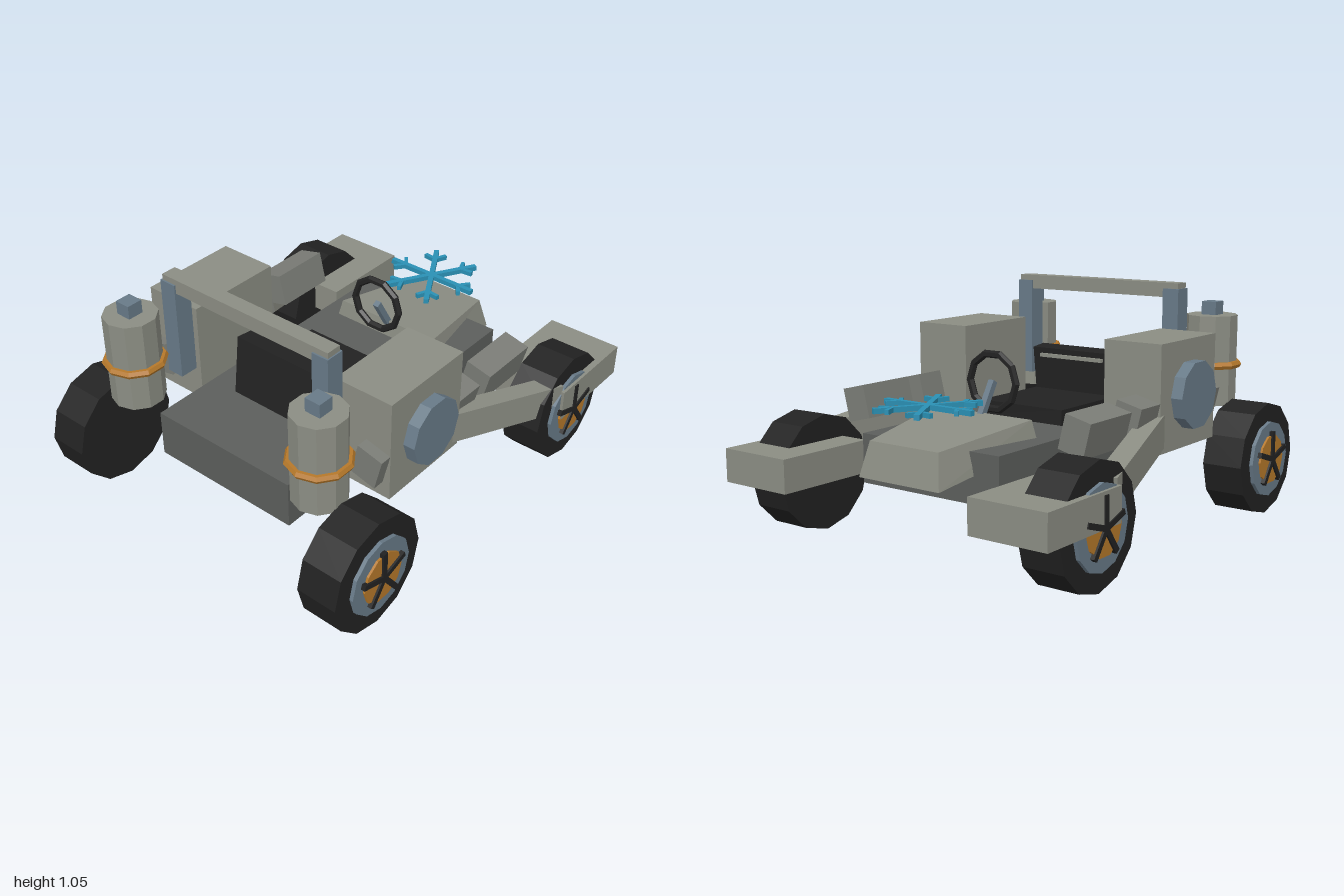
import * as THREE from 'three';

export function createModel() {
  const model = new THREE.Group();
  model.name = 'rover';
  const mat = (name, color) => {
    const m = new THREE.MeshStandardMaterial({ color });
    m.name = name;
    return m;
  };
  const hull = mat('light hull grey', 0x8b8d83);
  const pod = mat('mid grey', 0x7a7c76);
  const frame = mat('dark frame grey', 0x5c5e5c);
  const slate = mat('slate blue', 0x687a88);
  const black = mat('black rubber', 0x222222);
  const gold = mat('amber', 0xb5782a);
  const ice = mat('ice blue', 0x2a90b4);

  // Faceted mesh with hard edges
  const add = (name, geo, material, x = 0, y = 0, z = 0, parent = model) => {
    const g = geo.index ? geo.toNonIndexed() : geo;
    g.computeVertexNormals();
    const m = new THREE.Mesh(g, material);
    m.name = name;
    m.position.set(x, y, z);
    parent.add(m);
    return m;
  };
  const box = (w, h, d) => new THREE.BoxGeometry(w, h, d);
  // Disc whose axis runs along x, with a corner at the top
  const disc = (r, w, n) => new THREE.CylinderGeometry(r, r, w, n).rotateZ(Math.PI / 2);
  // Straight box beam between two points
  const beam = (name, a, b, w, h, material) => {
    const p = new THREE.Vector3(...a), q = new THREE.Vector3(...b);
    const m = add(name, box(w, h, p.distanceTo(q)), material);
    m.position.copy(p).lerp(q, 0.5);
    m.lookAt(q);
    return m;
  };

  // Chassis
  add('chassis', box(0.72, 0.212, 1.425), frame, 0, 0.364, 0.048);

  // Tapered hood: a box narrowed towards the nose and towards the top
  const hood = box(1, 1, 1);
  const p = hood.attributes.position;
  for (let i = 0; i < p.count; i++) {
    const nose = p.getZ(i) < 0, top = p.getY(i) > 0, s = Math.sign(p.getX(i));
    if (nose) p.setXYZ(i, s * (top ? 0.18 : 0.21), top ? 0.487 : 0.34, top ? -0.81 : -0.845);
    else p.setXYZ(i, s * (top ? 0.26 : 0.283), top ? 0.545 : 0.44, top ? -0.32 : -0.305);
  }
  add('hood', hood, hull);

  // Seat
  add('seatCushion', box(0.44, 0.07, 0.42), black, 0, 0.503, 0.16);
  add('seatBack', box(0.436, 0.27, 0.08), black, 0, 0.604, 0.397).rotation.x = -0.12;
  add('seatTrim', box(0.34, 0.016, 0.02), hull, 0, 0.70, 0.336);

  // Steering
  add('steeringWheel', new THREE.TorusGeometry(0.123, 0.017, 6, 10), black, 0, 0.667, -0.245);
  beam('steeringColumn', [0, 0.67, -0.245], [0, 0.51, -0.34], 0.028, 0.028, slate);

  // Roll bar
  add('rollBarTop', box(0.88, 0.065, 0.07), hull, 0, 1.018, 0.573);

  // Snowflake ornament
  const flake = new THREE.Group();
  flake.name = 'snowflake';
  flake.position.set(0, 0.622, -0.66);
  model.add(flake);
  for (let i = 0; i < 6; i++) {
    const arm = new THREE.Group();
    arm.name = 'snowflakeArm';
    arm.rotation.y = i * Math.PI / 3;
    flake.add(arm);
    add('snowflakeStem', box(0.228, 0.022, 0.024), ice, 0.114, 0, 0, arm);
    for (const s of [-1, 1])
      add('snowflakeBranch', box(0.062, 0.02, 0.018), ice, 0.168, 0, s * 0.024, arm).rotation.y = -s * Math.PI / 3.4;
  }

  // One wheel; s is the side it faces
  const wheel = (name, s, z) => {
    const w = new THREE.Group();
    w.name = name;
    w.position.set(0, 0.26, z);
    model.add(w);
    add('tire', disc(0.256, 0.185, 12), black, s * 0.709, 0, 0, w);
    add('rim', disc(0.172, 0.05, 12), slate, s * 0.793, 0, 0, w);
    add('hubPlate', disc(0.113, 0.03, 10), gold, s * 0.813, 0, 0, w);
    for (let i = 0; i < 5; i++) {
      const a = i * Math.PI * 2 / 5;
      const spoke = add('spoke', box(0.02, 0.128, 0.024), black,
        s * 0.827, Math.cos(a) * 0.064, Math.sin(a) * 0.064, w);
      spoke.rotation.x = a;
    }
  };

  for (const s of [-1, 1]) {
    wheel('noseWheel', s, -0.636);
    wheel('tailWheel', s, 0.745);

    // Fender and the arm that carries it
    add('fender', box(0.354, 0.145, 0.47), hull, s * 0.654, 0.33, -0.765);
    beam('fenderArm', [s * 0.6, 0.49, 0.11], [s * 0.77, 0.36, -0.54], 0.09, 0.14, hull);

    // Side box with a round cover
    add('sideBox', box(0.277, 0.463, 0.46), hull, s * 0.518, 0.617, 0.265);
    add('sideCover', disc(0.148, 0.06, 10), slate, s * 0.68, 0.613, 0.267);

    // Row of tilted pods
    for (const z of [-0.332, 0.035, 0.402])
      add('sidePod', box(0.122, 0.148, 0.292), pod, s * 0.579, 0.543, z).rotation.z = -s * 0.24;

    // Roll bar post
    add('rollBarPost', box(0.08, 0.45, 0.085), slate, s * 0.406, 0.8, 0.573);

    // Tank with band and cap
    const tank = new THREE.Group();
    tank.name = 'tank';
    tank.position.set(s * 0.508, 0, 0.74);
    model.add(tank);
    add('tankBody', new THREE.CylinderGeometry(0.117, 0.117, 0.41, 10), hull, 0, 0.695, 0, tank);
    add('tankBand', new THREE.TorusGeometry(0.122, 0.018, 6, 10).rotateX(Math.PI / 2).rotateY(Math.PI / 10),
      gold, 0, 0.675, 0, tank);
    add('tankCap', box(0.072, 0.07, 0.072), slate, 0, 0.925, 0, tank);
  }
  return model;
}
